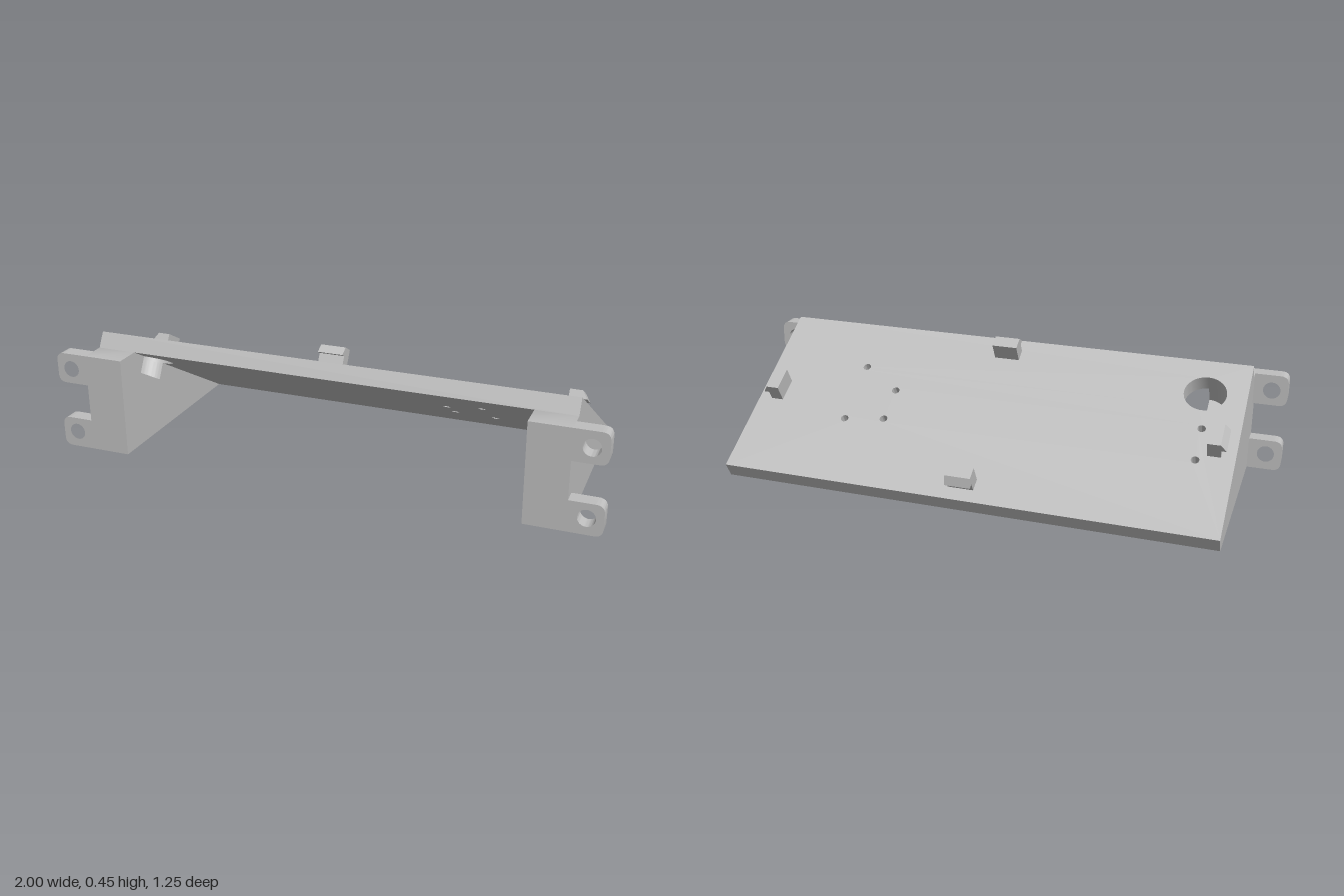
import * as THREE from 'three';
import { toCreasedNormals } from 'three/addons/utils/BufferGeometryUtils.js';

const HALF = 0.87;            // half width of the plate
const INNER = 0.727;          // inner face of each support
const THICK = 0.06;           // plate thickness
const LENGTH = 0.722;         // plate length along the slope
const TILT = Math.PI / 6;
const BACK = -0.383;          // z of the plate's lower back edge
const FRONT = 0.337;          // z of the supports' front face
const TOP = LENGTH * Math.sin(TILT);
const PORT = { x: -INNER, z: 0.575, r: 0.073, depth: 0.062 };

const grey = new THREE.MeshStandardMaterial({ color: 0xbebebe });
grey.name = 'plain grey';

function part(name, geometry) {
  const mesh = new THREE.Mesh(toCreasedNormals(geometry, 0.6), grey);
  mesh.name = name;
  return mesh;
}

function polygon(points) {
  return new THREE.Shape(points.map(([x, y]) => new THREE.Vector2(x, y)));
}

function addHole(shape, x, y, r) {
  const hole = new THREE.Path();
  hole.absarc(x, y, r, 0, Math.PI * 2, true);
  shape.holes.push(hole);
}

function extrude(shape, depth) {
  return new THREE.ExtrudeGeometry(shape, { depth, bevelEnabled: false, curveSegments: 24 });
}

// Profile in (z, y), swept across x from x0 to x1
function sweepX(points, x0, x1) {
  return extrude(polygon(points), x1 - x0).rotateY(-Math.PI / 2).translate(x1, 0, 0);
}

// Plan in (x, z), raised from y0 to y1
function sweepY(shape, y0, y1) {
  return extrude(shape, y1 - y0).rotateX(Math.PI / 2).translate(0, y1, 0);
}

// Converts slope distance and height above the plate's underside to (z, y)
function onSlope(s, n) {
  const c = Math.cos(TILT), k = Math.sin(TILT);
  return [BACK + s * c - n * k, s * k + n * c];
}

// Mounting ear with rounded outer corners and a bolt hole; side is +1 or -1
function ear(side, y0, y1, holeY) {
  const a = HALF * side, b = 0.988 * side, r = 0.03;
  const shape = new THREE.Shape();
  shape.moveTo(a, y0);
  shape.lineTo(b - r * side, y0);
  shape.quadraticCurveTo(b, y0, b, y0 + r);
  shape.lineTo(b, y1 - r);
  shape.quadraticCurveTo(b, y1, b - r * side, y1);
  shape.lineTo(a, y1);
  addHole(shape, 0.932 * side, holeY, 0.03);
  return part('mountingEar', extrude(shape, 0.054).translate(0, 0, FRONT - 0.054));
}

export function createModel() {
  const root = new THREE.Group();
  root.name = 'angledBracket';
  const body = new THREE.Group();
  body.name = 'body';
  body.rotation.y = 0.2915;
  body.position.set(-0.049 * Math.cos(0.2915), 0, 0.049 * Math.sin(0.2915));
  root.add(body);

  // Everything built square to the sloping plate
  const slope = new THREE.Group();
  slope.name = 'slopingPanel';
  slope.rotation.x = -TILT;
  slope.position.z = BACK;
  body.add(slope);

  // Plate with a cable port and screw holes
  const plan = polygon([[-HALF, 0], [HALF, 0], [HALF, LENGTH], [-HALF, LENGTH]]);
  addHole(plan, PORT.x, PORT.z, PORT.r);
  const screws = [[0.366, 0.29], [0.51, 0.269], [0.365, 0.422], [0.511, 0.514], [-0.741, 0.293], [-0.74, 0.424]];
  for (const [x, z] of screws) addHole(plan, x, z, 0.014);
  slope.add(part('plate', sweepY(plan, 0, THICK)));

  // Snap hooks at the middle of each edge, lips facing outwards
  const hook = [[-0.093, 0], [-0.048, 0], [-0.048, 0.035], [-0.029, 0.035], [-0.048, 0.065], [-0.093, 0.065]];
  const edges = [[0, LENGTH], [HALF, LENGTH / 2], [0, 0], [-HALF, LENGTH / 2]];
  edges.forEach(([x, z], i) => {
    const clip = part('snapHook', sweepX(hook, -0.045, 0.045));
    clip.rotation.y = i * Math.PI / 2;
    clip.position.set(x, THICK, z);
    slope.add(clip);
  });

  // Wedge supports; the one under the port has a recess
  const base = [[BACK, 0], [FRONT, 0], [FRONT, TOP], onSlope(LENGTH, 0)];
  const z0 = PORT.z - 0.09, z1 = PORT.z + 0.09;
  const recess = [onSlope(z1, 0), onSlope(z1, -PORT.depth), onSlope(z0, -PORT.depth), onSlope(z0, 0)];
  body.add(part('leftSupport', sweepX(base, INNER, HALF)));
  body.add(part('rightSupport', sweepX([...base, ...recess], -HALF, -INNER)));

  // Block around the half-round pocket below the port
  const pocket = new THREE.Shape();
  pocket.moveTo(-HALF, z0);
  pocket.lineTo(-INNER, z0);
  pocket.lineTo(-INNER, PORT.z - PORT.r);
  pocket.absarc(PORT.x, PORT.z, PORT.r, -Math.PI / 2, -Math.PI * 1.5, true);
  pocket.lineTo(-INNER, z1);
  pocket.lineTo(-HALF, z1);
  slope.add(part('portPocket', sweepY(pocket, -PORT.depth, 0)));

  // Upper and lower ears on both sides
  for (const side of [-1, 1]) {
    body.add(ear(side, 0, 0.112, 0.059));
    body.add(ear(side, 0.249, TOP, 0.304));
  }
  return root;
}
